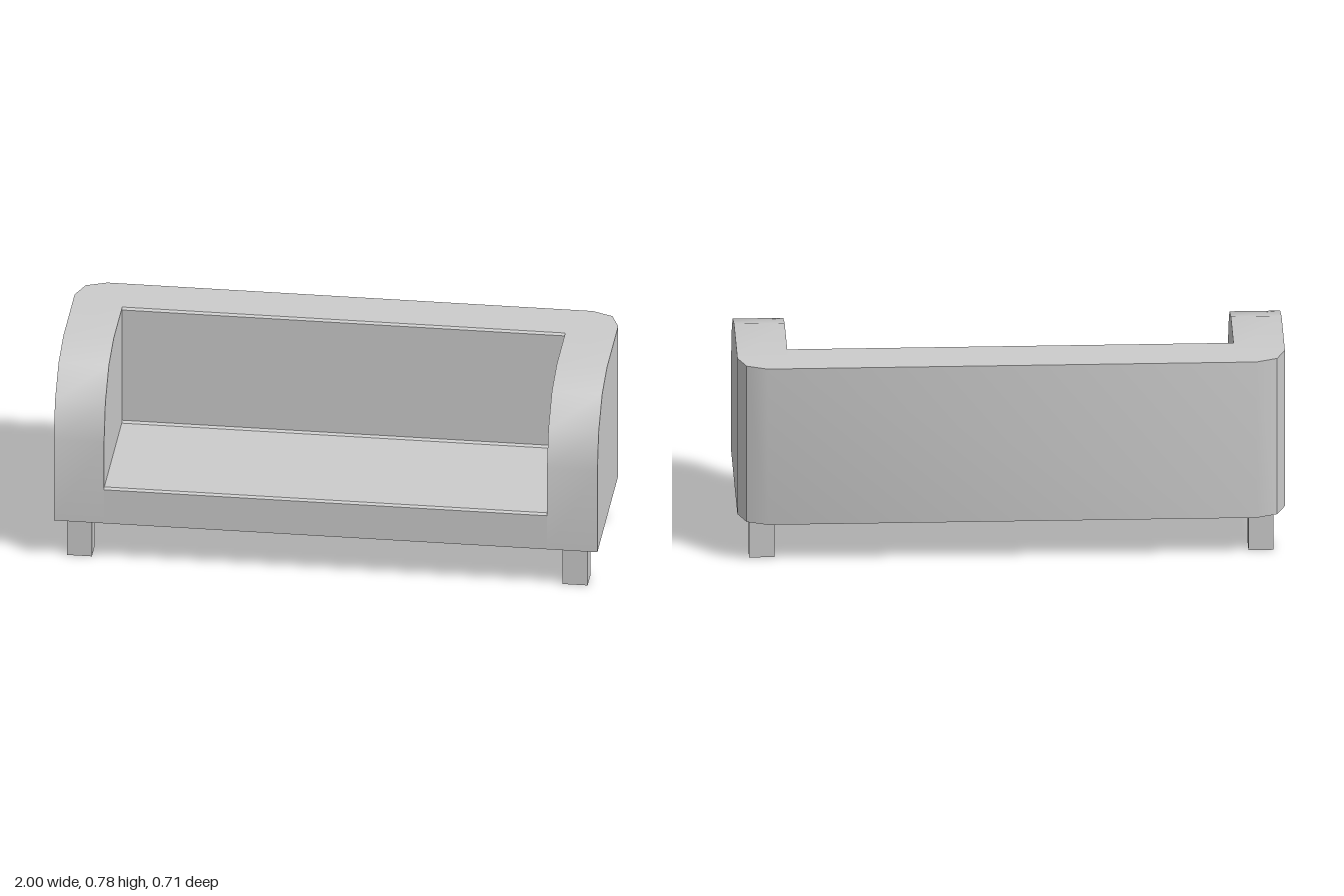
import * as THREE from 'three';
import { toCreasedNormals } from 'three/addons/utils/BufferGeometryUtils.js';

const BOTTOM = 0.165, TOP = 0.781, FRONT = 0.357, BACK = -0.357;
const INNER = 0.815;   // inside face of the arms
const SPLIT = -0.25;   // plane where the back corners start to curve
const BEVEL = 0.008;

const material = new THREE.MeshStandardMaterial({ color: 0xcccccc });

function addMesh(parent, name, geometry) {
  const mesh = new THREE.Mesh(geometry, material);
  mesh.name = name;
  parent.add(mesh);
  return mesh;
}

function extrude(points, depth) {
  const shape = new THREE.Shape(points.map(([a, b]) => new THREE.Vector2(a, b)));
  return new THREE.ExtrudeGeometry(shape, { depth, bevelEnabled: false });
}

// Side profile given as [z, y], extruded from x0 to x1
function sideExtrude(profile, x0, x1) {
  const geometry = extrude(profile.map(([z, y]) => [-z, y]), x1 - x0);
  geometry.rotateY(Math.PI / 2).translate(x0, 0, 0);
  return toCreasedNormals(geometry, 0.6);
}

// Plan outline given as [x, z], extruded from y0 to y1
function planExtrude(outline, y0, y1) {
  const geometry = extrude(outline.map(([x, z]) => [x, -z]), y1 - y0);
  geometry.rotateX(-Math.PI / 2).translate(0, y0, 0);
  return toCreasedNormals(geometry, 0.6);
}

export function createModel() {
  const sofa = new THREE.Group();
  sofa.name = 'sofa';

  // Arms with a faceted quarter round at the top front
  const armProfile = [[SPLIT, BOTTOM], [FRONT, BOTTOM]];
  const radius = 0.281;
  for (let i = 0; i <= 3; i++) {
    const a = (i / 3) * Math.PI / 2;
    armProfile.push([FRONT - radius + radius * Math.cos(a), TOP - radius + radius * Math.sin(a)]);
  }
  armProfile.push([SPLIT, TOP]);
  addMesh(sofa, 'leftArm', sideExtrude(armProfile, INNER, 1));
  addMesh(sofa, 'rightArm', sideExtrude(armProfile, -1, -INNER));

  // Seat and padded backrest between the arms, with fine bevelled edges
  const seatFace = 0.311, restFace = -0.165;
  addMesh(sofa, 'seatAndBackrest', sideExtrude([
    [SPLIT, BOTTOM], [FRONT, BOTTOM],
    [FRONT, seatFace - BEVEL], [FRONT - BEVEL, seatFace],
    [restFace + BEVEL, seatFace], [restFace, seatFace + BEVEL],
    [restFace, TOP - BEVEL], [restFace - BEVEL, TOP],
    [SPLIT, TOP],
  ], -INNER, INNER));

  // Rear shell with rounded vertical corners
  const corner = [[1, SPLIT], [0.969, -0.326], [0.893, BACK]];
  const mirrored = corner.map(([x, z]) => [-x, z]).reverse();
  addMesh(sofa, 'backShell', planExtrude([...corner, ...mirrored], BOTTOM, TOP));

  // Four square legs
  for (const [side, x] of [['Left', 0.912], ['Right', -0.912]]) {
    for (const [end, z] of [['front', 0.269], ['back', -0.229]]) {
      const leg = addMesh(sofa, `${end}${side}Leg`, new THREE.BoxGeometry(0.092, BOTTOM, 0.077));
      leg.position.set(x, BOTTOM / 2, z);
    }
  }
  return sofa;
}
